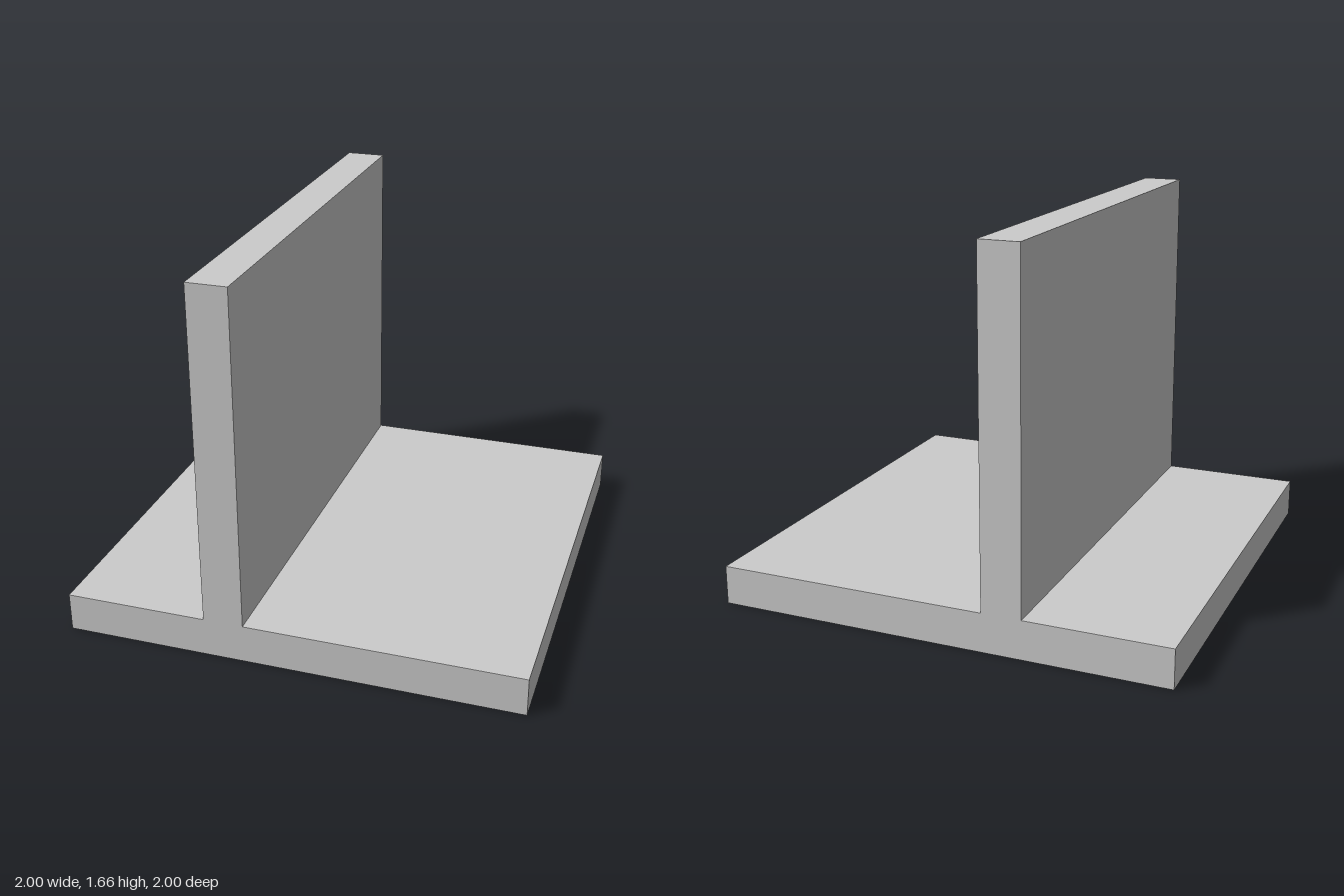
import * as THREE from 'three';

const DEPTH = 2;
const BASE_TOP = 0.17;

export function createModel() {
  const model = new THREE.Group();
  model.name = 'plateWithUprightWall';
  const material = new THREE.MeshStandardMaterial({ color: 0xcccccc, flatShading: true });

  // Full-depth slab spanning x0..x1 and y0..y1
  const addSlab = (name, x0, x1, y0, y1) => {
    const slab = new THREE.Mesh(new THREE.BoxGeometry(x1 - x0, y1 - y0, DEPTH), material);
    slab.position.set((x0 + x1) / 2, (y0 + y1) / 2, 0);
    slab.name = name;
    model.add(slab);
  };

  // Square base plate
  addSlab('basePlate', -1, 1, 0, BASE_TOP);
  // Upright wall, set off centre to the model's right
  addSlab('uprightWall', -0.375, -0.2, BASE_TOP, 1.66);

  return model;
}
